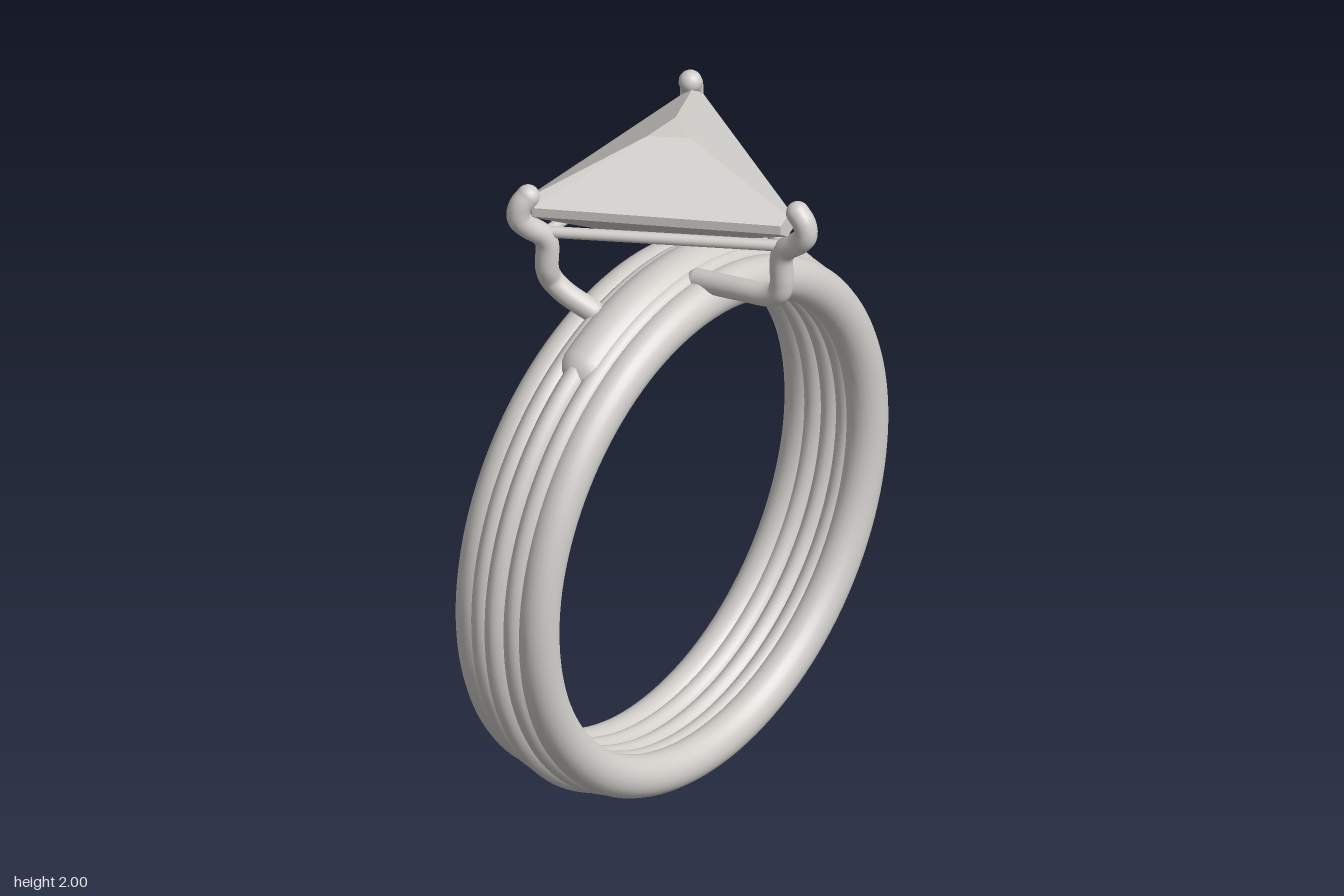
import * as THREE from 'three';
import { ConvexGeometry } from 'three/addons/geometries/ConvexGeometry.js';

const CY = 0.795;   // height of the band's centre
const CZ = -0.105;  // depth of the band's and the stone's centre

export function createModel() {
  const group = new THREE.Group();
  const silver = new THREE.MeshStandardMaterial({ color: 0xd0cdc9 });

  const add = (parent, name, geometry) => {
    const mesh = new THREE.Mesh(geometry, silver);
    mesh.name = name;
    parent.add(mesh);
    return mesh;
  };

  // Band: five ridges side by side, the middle one standing proudest
  const band = new THREE.Group();
  band.name = 'band';
  band.position.set(0, CY, CZ);
  group.add(band);
  const ridges = [
    // z offset, centre radius, radial half-thickness, half-width
    [0, 0.726, 0.067, 0.04],
    [0.055, 0.718, 0.062, 0.04],
    [0.105, 0.71, 0.06, 0.055],
  ];
  for (const [z, radius, tube, halfWidth] of ridges) {
    for (const side of z ? [1, -1] : [1]) {
      const g = new THREE.TorusGeometry(radius, tube, 24, 128);
      g.scale(1, 1, halfWidth / tube);
      g.translate(0, 0, z * side);
      add(band, 'bandRidge', g);
    }
  }

  // Smooth bridge over the ridges below the stone, with rounded ends
  const half = THREE.MathUtils.degToRad(30);
  const bridge = new THREE.TorusGeometry(0.725, 0.076, 24, 48, 2 * half);
  bridge.rotateZ(Math.PI / 2 - half);
  bridge.scale(1, 1, 1.05);
  add(band, 'bridge', bridge);
  for (const side of [-1, 1]) {
    const cap = add(band, 'bridgeEnd', new THREE.SphereGeometry(0.076, 24, 16));
    cap.scale.z = 1.05;
    cap.position.set(side * 0.725 * Math.sin(half), 0.725 * Math.cos(half), 0);
  }

  // Stone: triangular cut with clipped corners, small table and pointed base
  const points = [new THREE.Vector3(0, 1.65, CZ)];
  const put = (x, y, z) => points.push(new THREE.Vector3(x, y, z));
  for (const side of [-1, 1]) {
    for (const y of [1.838, 1.865]) {
      put(side * 0.33, y, -0.335);
      put(side * 0.37, y, -0.29);
      put(side * 0.03, y, 0.29);
    }
    put(side * 0.35, 1.883, -0.312);
    put(side * 0.35, 1.818, -0.312);
    put(side * 0.06, 2, -0.14);
  }
  put(0, 1.883, 0.29);
  put(0, 1.818, 0.29);
  put(0, 2, -0.04);
  add(group, 'stone', new ConvexGeometry(points));

  // Setting: three prongs a third of a turn apart, joined by rails
  const setting = new THREE.Group();
  setting.name = 'setting';
  setting.position.z = CZ;
  group.add(setting);
  const profile = [
    [0.42, 1.897], [0.442, 1.872], [0.447, 1.835], [0.425, 1.805],
    [0.378, 1.765], [0.365, 1.735], [0.365, 1.66],
  ];
  const around = (angle, r, y, t = 0.012) => new THREE.Vector3(
    r * Math.sin(angle) + t * Math.cos(angle), y,
    r * Math.cos(angle) - t * Math.sin(angle));
  const angles = [0, 1, 2].map(i => i * 2 * Math.PI / 3);
  const R = 0.032;

  angles.forEach((angle, i) => {
    const path = profile.map(([r, y]) => around(angle, r, y));
    if (i === 0) {
      // The front foot runs back to the band
      path.push(around(0, 0.358, 1.625), around(0, 0.325, 1.602),
        around(0, 0.22, 1.58), around(0, 0.08, 1.555));
    } else {
      // The side feet lean inward onto the back edge of the band
      const s = i === 1 ? 1 : -1;
      path.push(new THREE.Vector3(s * 0.303, 1.615, -0.172),
        new THREE.Vector3(s * 0.285, 1.575, -0.14),
        new THREE.Vector3(s * 0.25, 1.525, -0.075));
    }
    const curve = new THREE.CatmullRomCurve3(path, false, 'centripetal');
    add(setting, 'prong', new THREE.TubeGeometry(curve, 72, R, 16));
    for (const end of [path[0], path[path.length - 1]]) {
      add(setting, 'prongEnd', new THREE.SphereGeometry(R, 16, 12)).position.copy(end);
    }

    const rail = new THREE.LineCurve3(
      around(angle, 0.365, 1.772), around(angles[(i + 1) % 3], 0.365, 1.772));
    add(setting, 'rail', new THREE.TubeGeometry(rail, 1, 0.016, 12));
  });

  return group;
}
